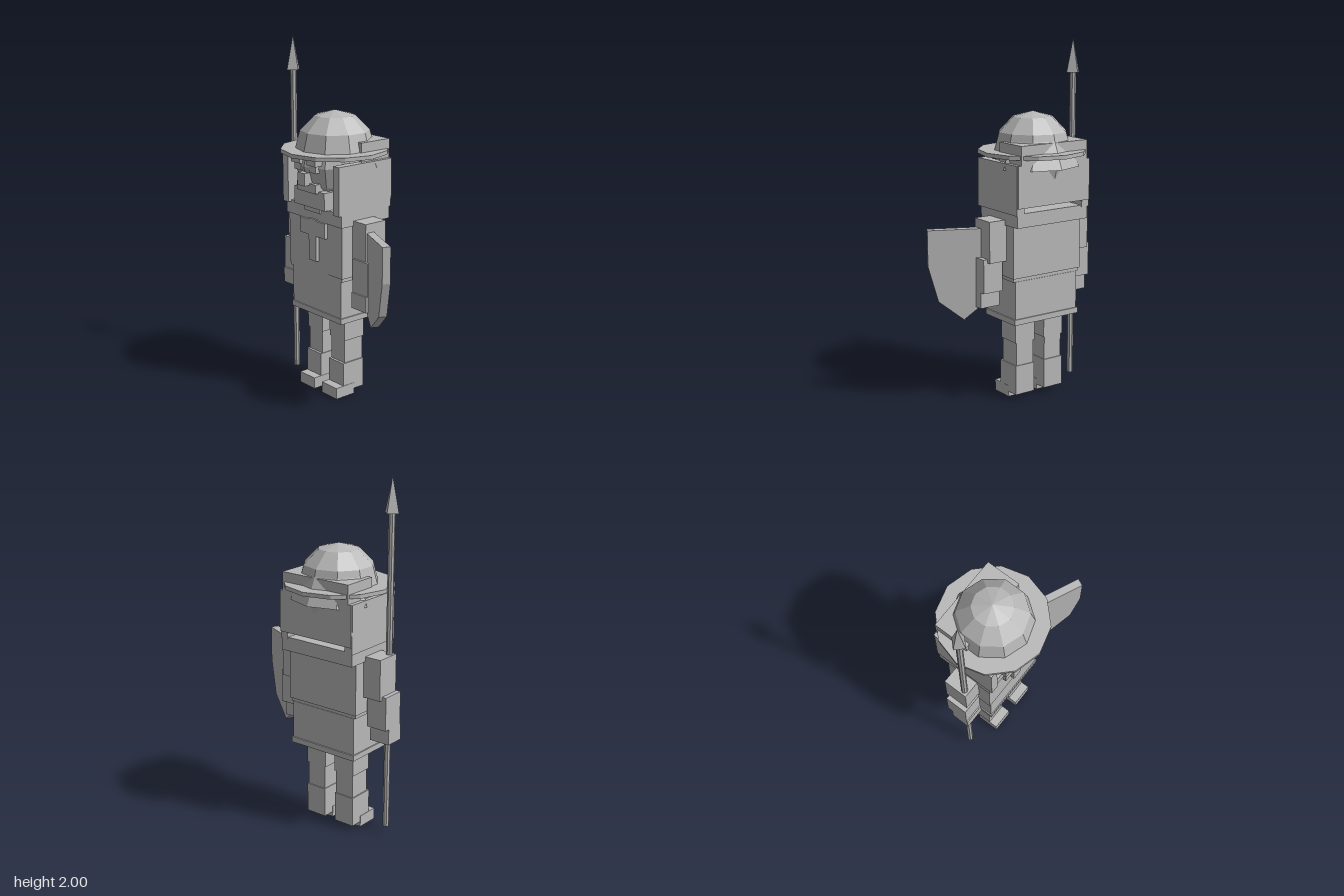
import * as THREE from 'three';

export function createModel() {
  const group = new THREE.Group();
  const grey = new THREE.MeshStandardMaterial({ color: 0xb8b8b8, flatShading: true, side: THREE.DoubleSide });
  grey.name = 'plain grey';
  const CX = -0.12; // body axis

  function add(name, geometry, x = 0, y = 0, z = 0) {
    const mesh = new THREE.Mesh(geometry, grey);
    mesh.name = name;
    mesh.position.set(x, y, z);
    group.add(mesh);
    return mesh;
  }
  // box from its limits, x measured from the body axis
  function box(name, x0, x1, y0, y1, z0, z1) {
    return add(name, new THREE.BoxGeometry(x1 - x0, y1 - y0, z1 - z0),
      CX + (x0 + x1) / 2, (y0 + y1) / 2, (z0 + z1) / 2);
  }
  // the same box on both sides of the body
  function pair(name, x0, x1, ...rest) {
    box(name + 'Left', x0, x1, ...rest);
    box(name + 'Right', -x1, -x0, ...rest);
  }

  // legs and boots
  pair('thigh', 0.032, 0.163, 0.335, 0.48, -0.07, 0.07);
  pair('shin', 0.04, 0.155, 0.19, 0.335, -0.065, 0.065);
  pair('boot', 0.036, 0.162, 0.03, 0.2, -0.07, 0.08);
  pair('toe', 0.034, 0.164, 0, 0.065, 0, 0.132);

  // tunic
  box('hem', -0.218, 0.218, 0.465, 0.497, -0.14, 0.143);
  box('skirt', -0.211, 0.211, 0.49, 0.71, -0.133, 0.137);
  box('chest', -0.228, 0.228, 0.73, 1.03, -0.14, 0.145);
  box('waist', -0.222, 0.222, 0.71, 0.74, -0.13, 0.14);
  box('mantle', -0.238, 0.238, 1.022, 1.1, -0.19, 0.155);
  box('crossUpright', -0.032, 0.032, 0.79, 1.03, 0.14, 0.165);
  box('crossBar', -0.107, 0.107, 0.935, 1.022, 0.14, 0.165);

  // arms
  pair('upperArm', 0.228, 0.337, 0.82, 1.05, -0.073, 0.07);
  pair('forearm', 0.24, 0.363, 0.65, 0.84, -0.053, 0.08);
  pair('hand', 0.24, 0.363, 0.56, 0.65, -0.022, 0.088);

  // head and face
  const head = add('head', new THREE.SphereGeometry(0.22, 10, 6), CX, 1.33, 0);
  head.rotation.y = Math.PI / 2;
  box('neck', -0.066, 0.066, 1.07, 1.2, -0.07, 0.165);
  box('beard', -0.13, 0.13, 1.1, 1.2, 0.05, 0.185);
  box('moustache', -0.08, 0.08, 1.19, 1.24, 0.12, 0.205);
  box('nose', -0.03, 0.03, 1.23, 1.3, 0.16, 0.24);
  pair('eye', 0.035, 0.09, 1.305, 1.345, 0.15, 0.212);
  pair('brow', 0.03, 0.105, 1.345, 1.385, 0.15, 0.225);

  // mail hood around the head
  pair('hoodSide', 0.195, 0.243, 1.09, 1.36, -0.195, 0.177);
  box('hoodBack', -0.24, 0.24, 1.13, 1.36, -0.203, -0.1);
  box('hoodCrown', -0.22, 0.22, 1.35, 1.465, -0.203, 0.0);

  // helmet: dome, brim and neck guard
  const dome = add('helmetDome',
    new THREE.SphereGeometry(0.222, 10, 3, 0, Math.PI * 2, 0, Math.PI / 2), CX, 1.397, 0);
  dome.rotation.y = Math.PI / 2;
  add('helmetBrim', new THREE.CylinderGeometry(0.302, 0.302, 0.022, 12), CX, 1.4, 0);
  add('neckGuard', new THREE.CylinderGeometry(0.19, 0.265, 0.175, 4, 1, true,
    Math.PI * 0.6, Math.PI * 0.8), CX, 1.412, 0);

  // spear
  add('spearShaft', new THREE.CylinderGeometry(0.018, 0.018, 1.78, 8), -0.43, 0.93, 0.042);
  add('spearHead', new THREE.ConeGeometry(0.044, 0.19, 4), -0.43, 1.905, 0.042);

  // shield, turned outward
  const outline = [[-0.195, 1], [-0.195, 0.8], [-0.14, 0.6], [0, 0.49], [0.14, 0.6], [0.195, 0.8], [0.195, 1]];
  const shape = new THREE.Shape(outline.map(([x, y]) => new THREE.Vector2(x, y)));
  const plate = new THREE.ExtrudeGeometry(shape, { depth: 0.045, bevelEnabled: false });
  plate.translate(0, 0, -0.0225);
  const shield = add('shield', plate, 0.295, 0, 0.072);
  shield.rotation.y = -0.427;

  return group;
}
